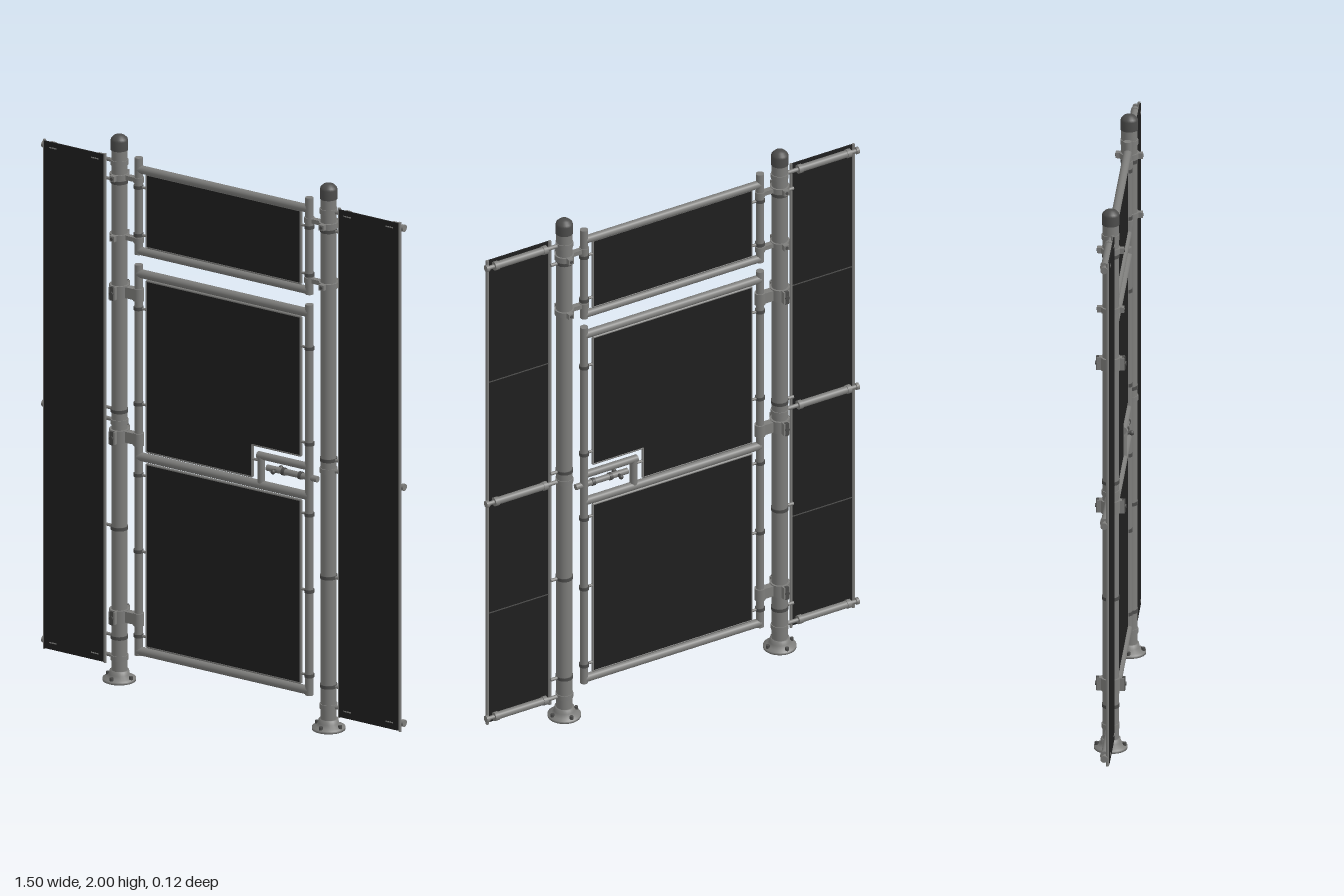
import * as THREE from 'three';

export function createModel() {
  const root = new THREE.Group();
  root.name = 'gate';
  const steel = new THREE.MeshStandardMaterial({ color: 0x7d7d7b });
  steel.name = 'grey steel';
  const panelMat = new THREE.MeshStandardMaterial({ color: 0x1f1f1f });
  panelMat.name = 'black panel';
  const dark = new THREE.MeshStandardMaterial({ color: 0x4c4c4b });
  dark.name = 'dark fitting';

  function add(parent, name, geo, mat, x = 0, y = 0, z = 0) {
    const m = new THREE.Mesh(geo, mat);
    m.name = name;
    m.position.set(x, y, z);
    parent.add(m);
    return m;
  }
  function group(name, parent = root) {
    const g = new THREE.Group();
    g.name = name;
    parent.add(g);
    return g;
  }
  const box = (p, n, w, h, d, x, y, z, mat = steel) => add(p, n, new THREE.BoxGeometry(w, h, d), mat, x, y, z);
  // Tubes along each axis
  const vert = (p, n, x, y0, y1, r, z = 0, mat = steel, seg = 16) =>
    add(p, n, new THREE.CylinderGeometry(r, r, y1 - y0, seg), mat, x, (y0 + y1) / 2, z);
  const horiz = (p, n, y, x0, x1, r, z = 0, mat = steel, seg = 16) => {
    const m = add(p, n, new THREE.CylinderGeometry(r, r, Math.abs(x1 - x0), seg), mat, (x0 + x1) / 2, y, z);
    m.rotation.z = Math.PI / 2;
    return m;
  };
  const deep = (p, n, x, y, z0, z1, r, mat = dark) => {
    const m = add(p, n, new THREE.CylinderGeometry(r, r, z1 - z0, 8), mat, x, y, (z0 + z1) / 2);
    m.rotation.x = Math.PI / 2;
    return m;
  };

  const POST = 0.435, FRAME = 0.355, TUBE = 0.0145;

  // Flat panel of any outline with a slim edge wire around it
  function panel(parent, name, pts) {
    const shape = new THREE.Shape(pts.map(([x, y]) => new THREE.Vector2(x, y)));
    const geo = new THREE.ExtrudeGeometry(shape, { depth: 0.008, bevelEnabled: false });
    add(parent, name, geo, panelMat, 0, 0, -0.004);
    pts.forEach(([x, y], i) => {
      const [u, v] = pts[(i + 1) % pts.length];
      if (x === u) vert(parent, name + 'Edge', x, Math.min(y, v), Math.max(y, v), 0.005, 0, steel, 8);
      else horiz(parent, name + 'Edge', y, Math.min(x, u), Math.max(x, u), 0.005, 0, steel, 8);
    });
  }

  // Small tie between the panel edge and its upright
  function tie(parent, s, y) {
    horiz(parent, 'panelTie', y, s * 0.32, s * FRAME, 0.005, 0, steel, 8);
    vert(parent, 'tieRing', s * FRAME, y - 0.006, y + 0.006, 0.0175, 0, dark);
  }

  for (const s of [-1, 1]) {
    // Post with domed cap and bolted foot
    const post = group(s < 0 ? 'rightPost' : 'leftPost');
    vert(post, 'postTube', s * POST, 0.01, 1.96, 0.028, 0, steel, 24);
    const cap = [[0.0305, 0], [0.0305, 0.034], [0.028, 0.042], [0.019, 0.051], [0.008, 0.055], [0, 0.055]];
    add(post, 'postCap', new THREE.LatheGeometry(cap.map(a => new THREE.Vector2(...a)), 24), dark, s * POST, 1.945);
    const foot = [[0, 0], [0.058, 0], [0.058, 0.009], [0.045, 0.012], [0.036, 0.024], [0.034, 0.038], [0.027, 0.038]];
    add(post, 'postFoot', new THREE.LatheGeometry(foot.map(a => new THREE.Vector2(...a)), 24), steel, s * POST);
    for (let i = 0; i < 4; i++) {
      const a = i * Math.PI / 2;
      vert(post, 'footBolt', s * POST + Math.cos(a) * 0.048, 0.008, 0.022, 0.007, Math.sin(a) * 0.048, dark, 6);
    }

    // Side wing: panel in front of three cross tubes
    const wing = group(s < 0 ? 'rightWing' : 'leftWing');
    box(wing, 'wingPanel', 0.246, 1.86, 0.005, s * 0.613, 0.99, 0.0155, panelMat);
    for (const x of [0.487, 0.739]) vert(wing, 'wingEdge', s * x, 0.056, 1.923, 0.0055, 0.011, steel, 8);
    for (const y of [0.085, 0.95, 1.9]) {
      horiz(wing, 'crossTube', y, s * 0.515, s * 0.715, 0.0135);
      for (const x of [0.515, 0.711]) horiz(wing, 'tubeCollar', y, s * (x - 0.008), s * (x + 0.008), 0.016);
      horiz(wing, 'crossRod', y, s * POST, s * 0.745, 0.0075, 0, steel, 8);
      horiz(wing, 'endStop', y, s * 0.741, s * 0.752, 0.0125);
      vert(wing, 'rodRing', s * POST, y - 0.009, y + 0.009, 0.031, 0, steel, 24);
    }
    // Corner slots on the panel face
    for (const y of [0.085, 1.9]) for (const x of [0.525, 0.7])
      box(wing, 'cornerSlot', 0.03, 0.004, 0.002, s * x, y, 0.0185);
    // Fine seams at the back
    for (const y of [0.5, 1.43]) box(wing, 'seam', 0.24, 0.003, 0.003, s * 0.613, y, 0.012, dark);
    // Extra ties from post to wing
    for (const y of [0.16, 0.56, 0.99, 1.83]) {
      horiz(wing, 'wingTie', y, s * POST, s * 0.49, 0.006, 0, steel, 8);
      vert(wing, 'wingTieRing', s * POST, y - 0.006, y + 0.006, 0.0305, 0, dark, 24);
    }
  }

  // Upper fixed frame
  const top = group('topFrame');
  for (const s of [-1, 1]) {
    vert(top, 'topUpright', s * FRAME, 1.578, 1.932, TUBE);
    for (const y of [1.65, 1.825]) tie(top, s, y);
    // Clamps to the posts
    for (const y of [1.63, 1.85]) {
      vert(top, 'clampCollar', s * POST, y - 0.01, y + 0.01, 0.034, 0, steel, 24);
      box(top, 'clampArm', 0.09, 0.016, 0.02, s * 0.395, y, 0);
      vert(top, 'clampRing', s * FRAME, y - 0.01, y + 0.01, 0.018);
      for (const z of [-1, 1]) box(top, 'clampLug', 0.02, 0.02, 0.016, s * POST, y, z * 0.039);
      deep(top, 'clampBolt', s * POST, y, -0.049, 0.049, 0.006);
    }
  }
  for (const y of [1.591, 1.89]) horiz(top, 'topRail', y, -FRAME, FRAME, TUBE);
  panel(top, 'topPanel', [[-0.32, 1.61], [0.32, 1.61], [0.32, 1.876], [-0.32, 1.876]]);

  // Door frame
  const door = group('door');
  for (const s of [-1, 1]) {
    vert(door, 'doorUpright', s * FRAME, 0.108, 1.54, TUBE);
    for (const y of [0.18, 0.49, 0.77, 1.03, 1.38]) tie(door, s, y);
  }
  for (const y of [0.124, 0.837, 1.508]) horiz(door, 'doorRail', y, -FRAME, FRAME, 0.0155);
  panel(door, 'lowerPanel', [[-0.32, 0.145], [0.32, 0.145], [0.32, 0.814], [-0.32, 0.814]]);
  panel(door, 'upperPanel', [[-0.32, 0.86], [0.118, 0.86], [0.118, 0.978], [0.32, 0.978], [0.32, 1.486], [-0.32, 1.486]]);

  // Latch surround, bolt and grip
  const latch = group('latch', door);
  vert(latch, 'latchUpright', 0.155, 0.837, 0.944, 0.0135);
  horiz(latch, 'latchRail', 0.944, 0.142, FRAME, 0.0135);
  horiz(latch, 'latchTie', 0.925, 0.118, 0.155, 0.005, 0, steel, 8);
  horiz(latch, 'slidingBolt', 0.905, 0.18, 0.39, 0.011);
  for (const x of [0.25, 0.32]) horiz(latch, 'boltGuide', 0.905, x - 0.006, x + 0.006, 0.014, 0, dark);
  deep(latch, 'gripPin', 0.22, 0.905, -0.028, 0.028, 0.006);
  for (const z of [-1, 1]) add(latch, 'gripKnob', new THREE.SphereGeometry(0.009, 10, 8), dark, 0.22, 0.905, z * 0.024);

  // Hinges on the right post
  for (const y of [0.24, 0.9, 1.43]) {
    const hinge = group('hinge');
    vert(hinge, 'hingeCollar', -POST, y - 0.023, y + 0.023, 0.035, 0, steel, 24);
    box(hinge, 'hingeArm', 0.075, 0.04, 0.026, -0.393, y, 0);
    vert(hinge, 'hingeBarrel', -FRAME, y - 0.023, y + 0.023, 0.0195);
    for (const z of [-1, 1]) {
      box(hinge, 'hingeLug', 0.024, 0.046, 0.018, -POST, y, z * 0.039);
      box(hinge, 'hingeStrap', 0.013, 0.05, 0.01, -POST, y, z * 0.045, dark);
    }
    deep(hinge, 'hingeBolt', -POST, y, -0.054, 0.054, 0.008);
  }

  return root;
}
